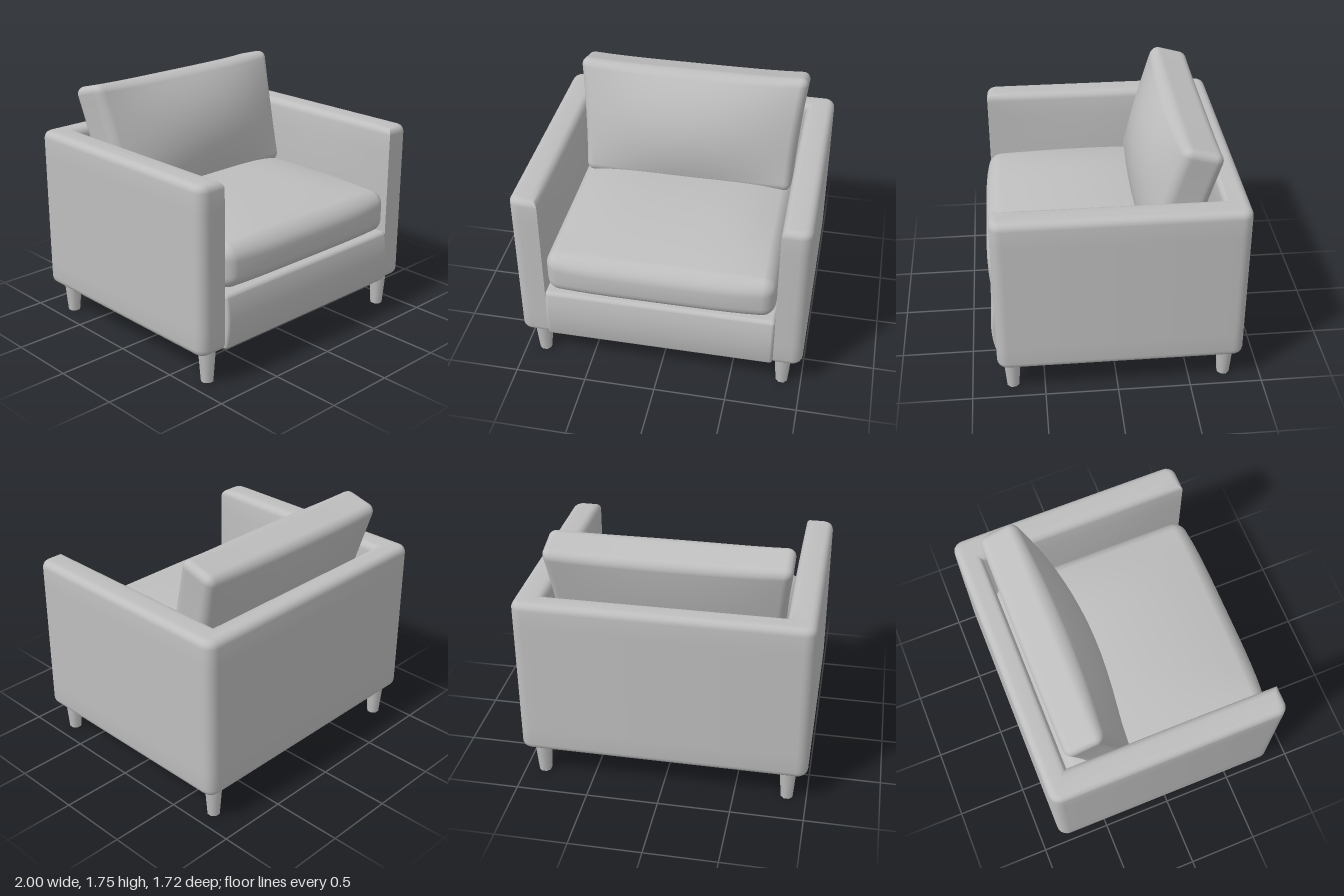
import * as THREE from 'three';
import { mergeVertices, toCreasedNormals } from 'three/addons/utils/BufferGeometryUtils.js';

// Finely divided box with round edges; warp(p, u) may then push each point,
// u being its position inside the box from -1 to 1 on each axis.
function softBox(w, h, d, r, warp) {
  let geo = new THREE.BoxGeometry(2, 2, 2, 20, 20, 20);
  geo.deleteAttribute('uv');
  geo.deleteAttribute('normal');
  geo = mergeVertices(geo);
  const half = [w / 2, h / 2, d / 2];
  const pos = geo.attributes.position;
  const p = new THREE.Vector3(), core = new THREE.Vector3(), u = new THREE.Vector3();
  for (let i = 0; i < pos.count; i++) {
    p.fromBufferAttribute(pos, i);
    for (let a = 0; a < 3; a++) {
      const t = p.getComponent(a), m = Math.abs(t), inner = half[a] - r;
      const s = m <= 0.6 ? inner * m / 0.6 : inner + r * Math.tan((m - 0.6) / 0.4 * Math.PI / 4);
      p.setComponent(a, Math.sign(t) * s);
      core.setComponent(a, Math.sign(t) * Math.min(s, inner));
    }
    p.sub(core).setLength(r).add(core);
    u.set(p.x / half[0], p.y / half[1], p.z / half[2]);
    if (warp) warp(p, u);
    pos.setXYZ(i, p.x, p.y, p.z);
  }
  geo.computeVertexNormals();
  return geo;
}

// Arms and back as one U-shaped wall with rounded rims
function frameGeometry() {
  const b = 0.05, o = 1 - b, inn = 0.8 + b, r = 0.03;
  const front = 0.82 - b, back = -0.86 + b, innerBack = -0.69 - b;
  // shape y is -z of the model
  const s = new THREE.Shape();
  s.moveTo(-o, -front + r);
  s.quadraticCurveTo(-o, -front, -o + r, -front);
  s.lineTo(-inn, -front);
  const n = 10;
  for (let i = 1; i <= n; i++) s.lineTo(-inn, -front + (front - innerBack) * i / n);
  for (let i = 0; i <= n; i++) s.lineTo(inn, -innerBack - (front - innerBack) * i / n);
  s.lineTo(o - r, -front);
  s.quadraticCurveTo(o, -front, o, -front + r);
  s.lineTo(o, -back - r);
  s.quadraticCurveTo(o, -back, o - r, -back);
  s.lineTo(-o + r, -back);
  s.quadraticCurveTo(-o, -back, -o, -back - r);
  s.closePath();
  const geo = new THREE.ExtrudeGeometry(s, {
    depth: 1.16 - 2 * b, steps: 8, curveSegments: 5,
    bevelEnabled: true, bevelSize: b, bevelThickness: b, bevelSegments: 5,
  });
  geo.rotateX(-Math.PI / 2).translate(0, 0.23 + b, 0);
  // Padding swells on the inner arm faces
  const pos = geo.attributes.position;
  for (let i = 0; i < pos.count; i++) {
    const x = pos.getX(i), ty = (pos.getY(i) - 0.23) / 1.16, tz = (pos.getZ(i) + 0.69) / 1.51;
    if (Math.abs(Math.abs(x) - 0.8) < 0.01 && tz > 0 && tz < 1) {
      pos.setX(i, x - Math.sign(x) * 0.03 * Math.sin(Math.PI * ty) * Math.sin(Math.PI * tz));
    }
  }
  return toCreasedNormals(geo, 0.7);
}

const dome = (a, b) => Math.max(0, 1 - a * a) * Math.max(0, 1 - b * b);

export function createModel() {
  const model = new THREE.Group();
  model.name = 'armchair';
  const grey = new THREE.MeshStandardMaterial({ color: 0xbebebe });
  grey.name = 'soft grey';

  const add = (name, geo, x, y, z) => {
    const mesh = new THREE.Mesh(geo, grey);
    mesh.name = name;
    mesh.position.set(x, y, z);
    model.add(mesh);
    return mesh;
  };

  add('armsAndBack', frameGeometry(), 0, 0, 0);

  // Seat base with a slightly padded front
  add('seatBase', softBox(1.6, 0.39, 1.62, 0.025, (p, u) => {
    if (u.z > 0.5) p.z += 0.025 * (1 - u.y * u.y);
  }), 0, 0.425, 0.015);

  // Seat cushion, domed on top and bulging in front
  add('seatCushion', softBox(1.58, 0.3, 1.5, 0.09, (p, u) => {
    if (u.y > 0) p.y += 0.08 * u.y * Math.max(0, 1 - u.x ** 4) * Math.max(0, 1 - u.z * u.z);
    if (u.z > 0) p.z += 0.04 * u.z * Math.max(0, 1 - u.x ** 4) * (1 - 0.5 * u.y * u.y);
  }), 0, 0.78, 0.07);

  // Leaning back cushion, wider at the top, plump in front
  const cushion = add('backCushion', softBox(1.6, 0.84, 0.28, 0.06, (p, u) => {
    p.x *= 0.99 + 0.04 * u.y - 0.015 * (1 - u.y * u.y);
    if (u.z > 0) p.z += 0.12 * u.z * dome(u.x, u.y);
    else p.z += 0.03 * u.z * dome(u.x, u.y);
    if (u.y > 0) p.y += 0.015 * u.y * u.x * u.x * u.x * u.x;
  }), 0, 1.31, -0.445);
  cushion.rotation.x = -0.27;

  // Tapered legs
  for (const side of [1, -1]) {
    for (const [end, z] of [['front', 0.72], ['back', -0.75]]) {
      const geo = new THREE.CylinderGeometry(0.064, 0.044, 0.25, 8);
      geo.rotateY(Math.PI / 8);
      add(end + (side > 0 ? 'Left' : 'Right') + 'Leg', geo, side * 0.865, 0.125, z);
    }
  }
  return model;
}
